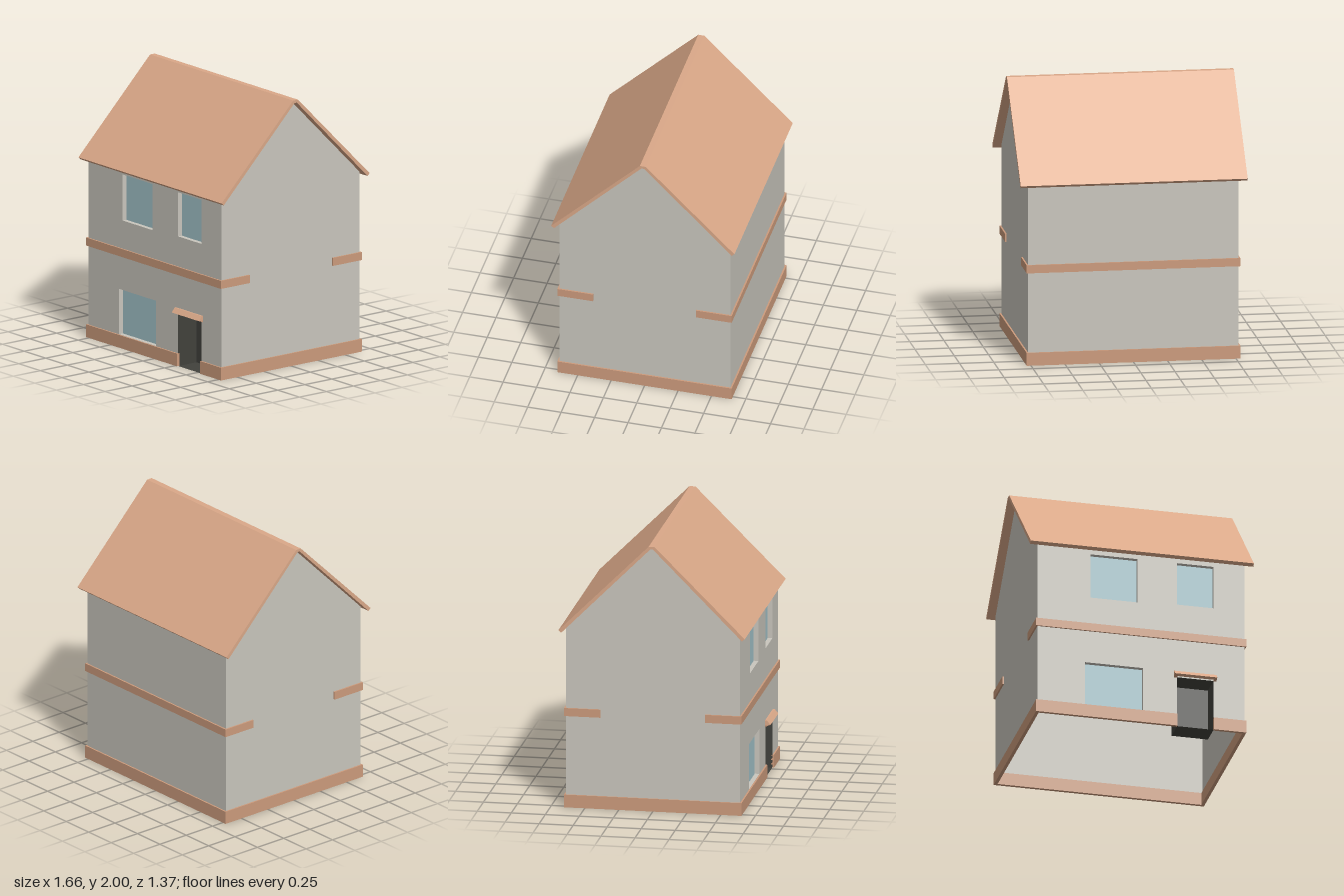
import * as THREE from 'three';

const W = 0.77, D = 0.64, EAVE = 1.345, APEX = 1.985;
const DOOR = { x0: 0.27, x1: 0.54, y0: 0, y1: 0.39 };
const WINDOWS = [
  { name: 'upperLargeWindow', x0: -0.375, x1: -0.025, y0: 0.955, y1: 1.3 },
  { name: 'upperSmallWindow', x0: 0.27, x1: 0.54, y0: 0.97, y1: 1.3 },
  { name: 'lowerWindow', x0: -0.415, x1: 0.015, y0: 0.096, y1: 0.435 },
];

const paint = (color) => new THREE.MeshStandardMaterial({ color, side: THREE.DoubleSide });
const toPoints = (list) => list.map(([x, y]) => new THREE.Vector2(x, y));

function add(parent, name, geometry, material) {
  const mesh = new THREE.Mesh(geometry, material);
  mesh.name = name;
  parent.add(mesh);
  return mesh;
}

// Box given by its limits on each axis
function span(x0, x1, y0, y1, z0, z1) {
  return new THREE.BoxGeometry(x1 - x0, y1 - y0, z1 - z0)
    .translate((x0 + x1) / 2, (y0 + y1) / 2, (z0 + z1) / 2);
}

// Recess behind the front wall: four reveals and a back panel, open to the front
function recess(parent, name, r, depth, revealMaterial, panelMaterial) {
  const group = new THREE.Group();
  group.name = name;
  parent.add(group);
  const box = span(r.x0, r.x1, r.y0, r.y1, D - depth, D);
  const faces = Array.from(box.index.array);
  const reveal = box.clone();
  reveal.setIndex(faces.slice(0, 24));
  const panel = box.clone();
  panel.setIndex(faces.slice(30, 36));
  add(group, 'reveal', reveal, revealMaterial);
  add(group, 'panel', panel, panelMaterial);
}

// Side profile in (z, y), extruded along x from x0 to x1
function extrudeAlongX(profile, x0, x1) {
  const shape = new THREE.Shape(toPoints(profile.map(([z, y]) => [-z, y])));
  return new THREE.ExtrudeGeometry(shape, { depth: x1 - x0, bevelEnabled: false })
    .rotateY(Math.PI / 2).translate(x0, 0, 0);
}

export function createModel() {
  const model = new THREE.Group();
  model.name = 'house';
  const wall = paint(0xc9c6bd), trim = paint(0xcc9b7c), roof = paint(0xdaa888);
  const glass = paint(0xa3c4cb), dark = paint(0x41413c);

  // Front wall with doorway notch and window openings
  const front = new THREE.Shape(toPoints([
    [-W, 0], [DOOR.x0, 0], [DOOR.x0, DOOR.y1], [DOOR.x1, DOOR.y1],
    [DOOR.x1, 0], [W, 0], [W, EAVE], [-W, EAVE],
  ]));
  for (const w of WINDOWS) {
    front.holes.push(new THREE.Path(toPoints([
      [w.x0, w.y0], [w.x0, w.y1], [w.x1, w.y1], [w.x1, w.y0],
    ])));
  }
  add(model, 'frontWall', new THREE.ShapeGeometry(front).translate(0, 0, D), wall);
  add(model, 'backWall', new THREE.PlaneGeometry(2 * W, EAVE)
    .rotateY(Math.PI).translate(0, EAVE / 2, -D), wall);

  // Gable walls
  const gable = new THREE.Shape(toPoints([[-D, 0], [D, 0], [D, EAVE], [0, APEX], [-D, EAVE]]));
  for (const s of [1, -1]) {
    add(model, s > 0 ? 'leftGableWall' : 'rightGableWall',
      new THREE.ShapeGeometry(gable).rotateY(s * Math.PI / 2).translate(s * W, 0, 0), wall);
  }

  // Windows and door alcove
  for (const w of WINDOWS) recess(model, w.name, w, 0.035, wall, glass);
  recess(model, 'doorAlcove', DOOR, 0.17, dark, dark);

  // Plinth, interrupted at the door, and belt course with short side returns
  const t = 0.012;
  add(model, 'frontPlinth', span(-W - t, DOOR.x0, 0, 0.095, D - t, D + t), trim);
  add(model, 'frontPlinthEnd', span(DOOR.x1, W + t, 0, 0.095, D - t, D + t), trim);
  add(model, 'backPlinth', span(-W - t, W + t, 0, 0.095, -D - t, -D + t), trim);
  for (const s of [1, -1]) {
    const x = s * W;
    add(model, 'sidePlinth', span(x - t, x + t, 0, 0.095, -D + t, D - t), trim);
    add(model, 'belt', span(-W - t, W + t, 0.685, 0.745, s * D - t, s * D + t), trim);
    for (const e of [1, -1]) {
      const z = e * (0.385 + D - t) / 2, half = (D - t - 0.385) / 2;
      add(model, 'beltReturn', span(x - t, x + t, 0.685, 0.745, z - half, z + half), trim);
    }
  }

  // Sloped door canopy on two small end brackets
  add(model, 'doorCanopy', extrudeAlongX(
    [[D, 0.4], [0.68, 0.402], [0.652, 0.435], [D, 0.435]], 0.245, 0.56), roof);
  for (const [x0, x1] of [[0.245, DOOR.x0], [DOOR.x1, 0.56]]) {
    add(model, 'canopyBracket', extrudeAlongX([[D, 0.386], [0.678, 0.402], [D, 0.402]], x0, x1), trim);
  }

  // Pitched roof shell with a narrow flat ridge
  add(model, 'roof', extrudeAlongX([
    [-0.685, 1.34], [-0.665, 1.322], [-0.01, 1.98], [0.01, 1.98],
    [0.665, 1.322], [0.685, 1.34], [0.022, 2], [-0.022, 2],
  ], -0.83, 0.83), roof);

  return model;
}
